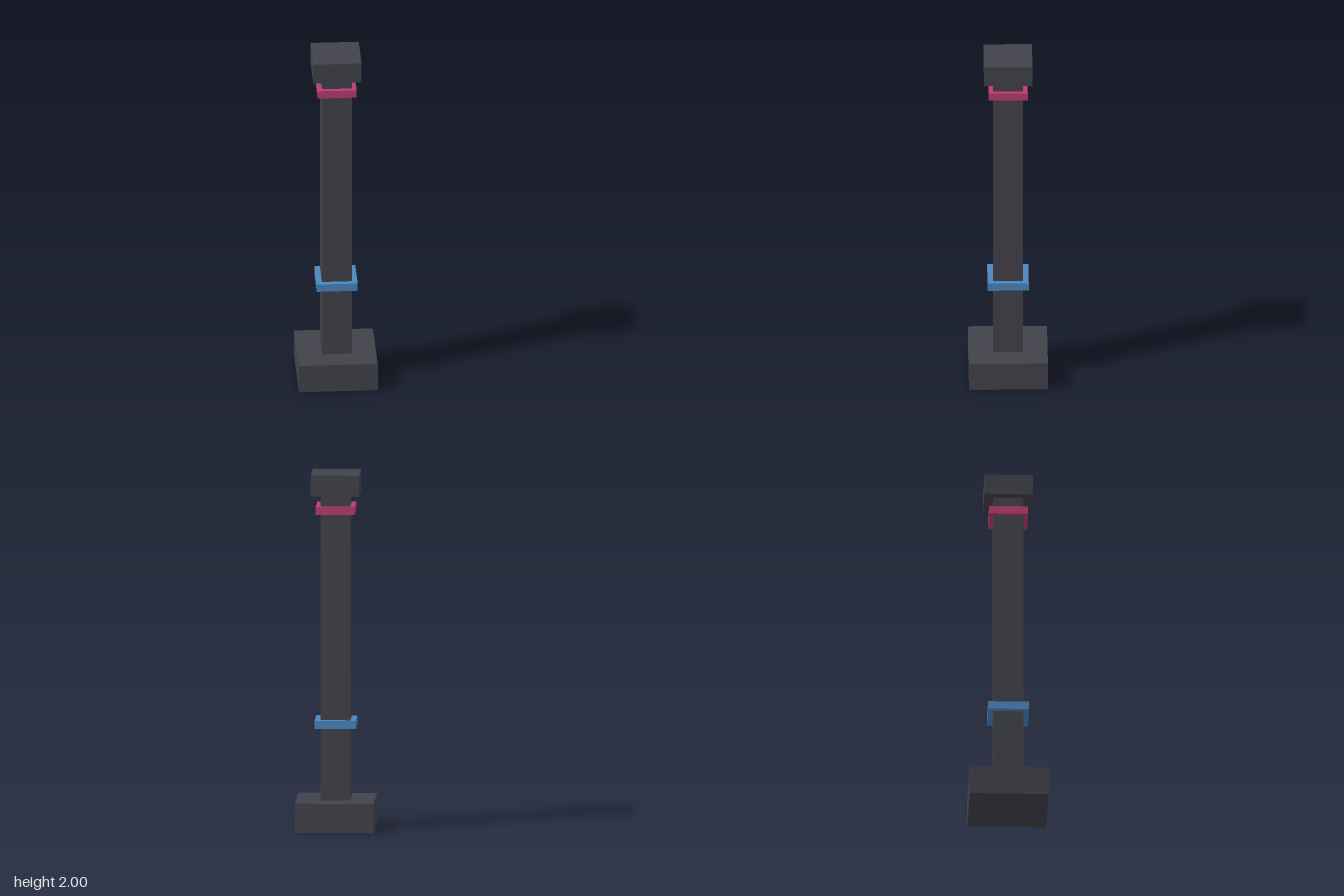
import * as THREE from 'three';

export function createModel() {
  const group = new THREE.Group();
  const material = (name, color) => {
    const m = new THREE.MeshStandardMaterial({ color });
    m.name = name;
    return m;
  };
  const stone = material('darkStone', 0x41414a);
  const pink = material('pink', 0xb93c73);
  const blue = material('blue', 0x4a86c0);

  // Square block of the given width, spanning bottom to top
  const block = (name, width, bottom, top, mat) => {
    const mesh = new THREE.Mesh(new THREE.BoxGeometry(width, top - bottom, width), mat);
    mesh.name = name;
    mesh.position.y = (bottom + top) / 2;
    group.add(mesh);
  };

  block('base', 0.44, 0, 0.164, stone);
  block('shaft', 0.167, 0.164, 1.882, stone);
  block('lowerBand', 0.229, 0.571, 0.616, blue);
  block('upperBand', 0.218, 1.775, 1.82, pink);
  block('capital', 0.27, 1.882, 2, stone);

  return group;
}
